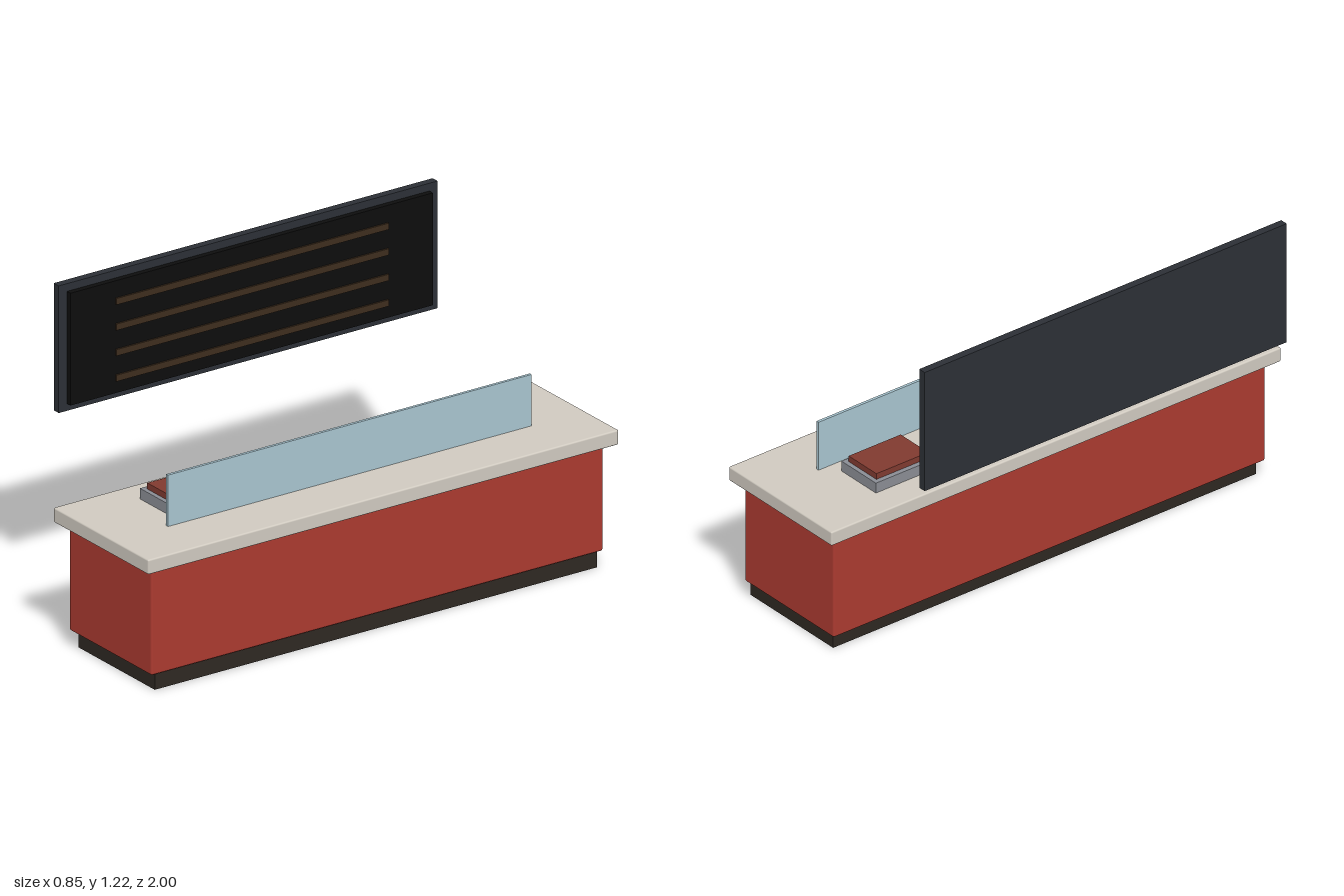
import * as THREE from 'three';
import { RoundedBoxGeometry } from 'three/addons/geometries/RoundedBoxGeometry.js';

export function createModel() {
  const group = new THREE.Group();
  const mat = (color) => new THREE.MeshStandardMaterial({ color });
  const stone = mat(0xd0cac0), red = mat(0xab3a30), dark = mat(0x2e2822);
  const steel = mat(0x8a8d94), glass = mat(0xa8c5d0), frame = mat(0x2c3036);
  const black = mat(0x0d0d0d), brown = mat(0x3e2d1e);
  const meat = mat(0x803a30), greens = mat(0x567d3a), corn = mat(0xb89020);

  // Box spanning x0..x1 and y0..y1, with depth d centred on z; r rounds the edges
  function box(name, material, x0, x1, y0, y1, d, z = 0, r = 0) {
    const w = x1 - x0, h = y1 - y0;
    const geo = r ? new RoundedBoxGeometry(w, h, d, 2, r) : new THREE.BoxGeometry(w, h, d);
    const mesh = new THREE.Mesh(geo, material);
    mesh.name = name;
    mesh.position.set((x0 + x1) / 2, (y0 + y1) / 2, z);
    group.add(mesh);
  }

  // Counter
  box('plinth', dark, -0.085, 0.375, 0, 0.062, 1.88);
  box('counterBody', red, -0.113, 0.383, 0.06, 0.464, 1.92, 0, 0.008);
  box('countertop', stone, -0.151, 0.421, 0.464, 0.52, 2, 0, 0.006);
  box('sneezeGuard', glass, 0.206, 0.217, 0.518, 0.714, 1.545);

  // Food trays along the counter
  [meat, greens, corn, meat].forEach((food, i) => {
    const z = -0.58 + i * 0.386;
    box('tray', steel, -0.039, 0.153, 0.518, 0.56, 0.266, z);
    box('food', food, -0.02, 0.134, 0.55, 0.583, 0.231, z);
  });

  // Menu board floating behind the counter
  box('boardFrame', frame, -0.425, -0.395, 0.743, 1.223, 1.61);
  box('boardPanel', black, -0.4, -0.374, 0.77, 1.194, 1.54);
  for (let i = 0; i < 4; i++) {
    const y = 0.828 + i * 0.0965;
    box('menuLine', brown, -0.38, -0.367, y - 0.012, y + 0.012, 1.158);
  }
  return group;
}
